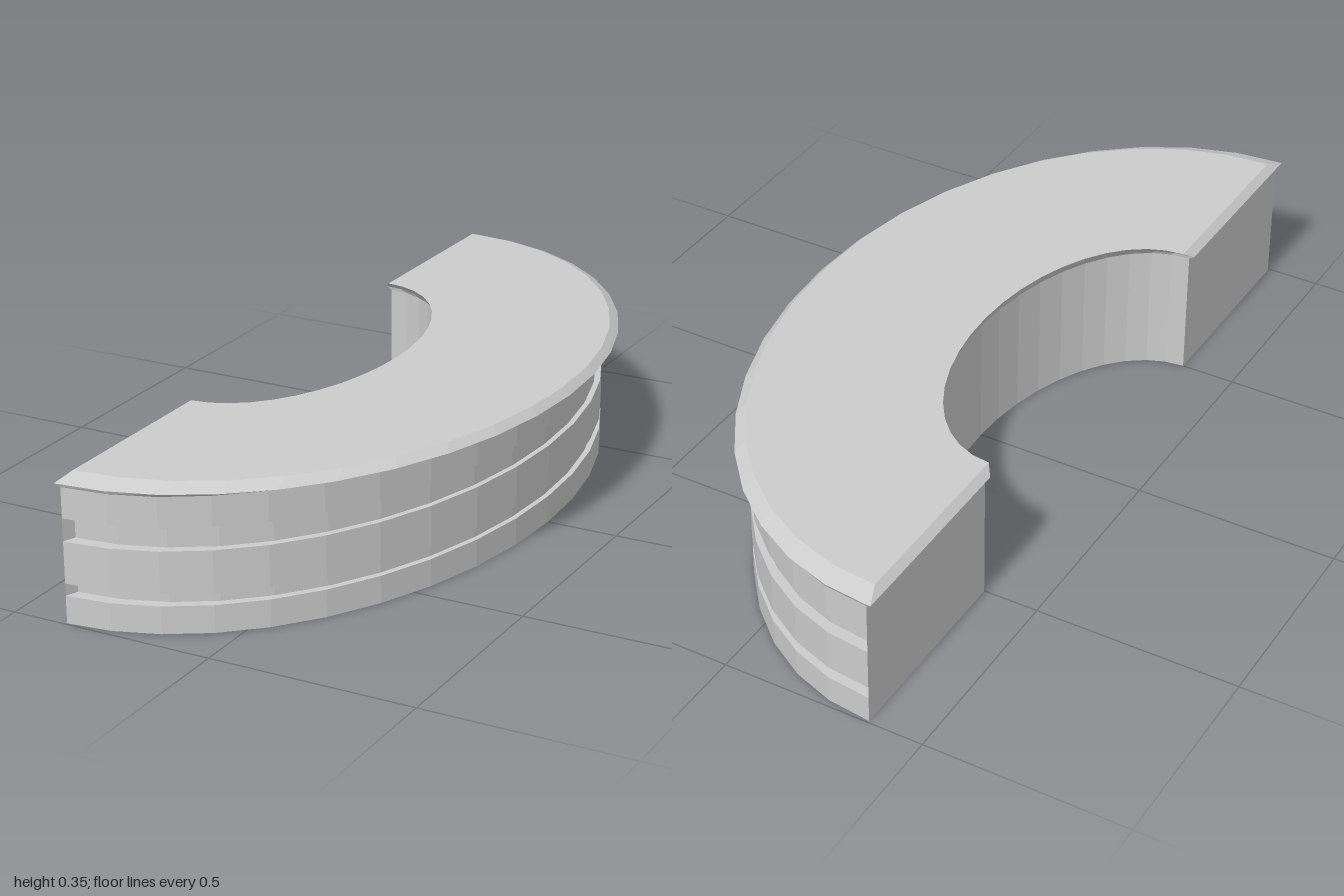
import * as THREE from 'three';

const SEG = 20;

// Half-elliptical ring outline: outer arc forward, inner arc back.
// cx: plane of the cut ends; a, b: outer radii in x and z; ia, ib: inner radii.
// Each arc carries one extra point at each end so grooves can taper out.
function outline(cx, a, b, ia, ib) {
  const arc = (rx, rz) => {
    const pts = [];
    for (let i = 0; i <= SEG; i++) {
      const t = (i / SEG) * Math.PI;
      pts.push([cx + rx * Math.sin(t), rz * Math.cos(t)]);
    }
    return [pts[0], ...pts, pts[SEG]];
  };
  return { outer: arc(a, b), inner: arc(ia, ib) };
}

// Loft a stack of [y, outline] layers into flat-shaded walls with optional caps.
function loft(layers, capBottom, capTop) {
  const pos = [];
  const tri = (p, q, r) => {
    const v = [p, q, r].map((k) => new THREE.Vector3(...k));
    const area = v[1].clone().sub(v[0]).cross(v[2].clone().sub(v[0])).length();
    if (area > 1e-8) pos.push(...p, ...q, ...r);
  };
  const quad = (p, q, r, s) => { tri(p, q, r); tri(p, r, s); };
  const rings = layers.map(([y, o]) =>
    [...o.outer, ...o.inner.slice().reverse()].map(([x, z]) => [x, y, z]));
  const n = rings[0].length;
  for (let k = 0; k < rings.length - 1; k++) {
    const lo = rings[k], hi = rings[k + 1];
    for (let i = 0; i < n; i++) {
      const j = (i + 1) % n;
      quad(lo[i], lo[j], hi[j], hi[i]);
    }
  }
  const bottom = rings[0], top = rings[rings.length - 1];
  for (let i = 0; i < n / 2 - 1; i++) {
    const m = n - 1 - i;
    if (capTop) quad(top[i], top[i + 1], top[m - 1], top[m]);
    if (capBottom) quad(bottom[i], bottom[m], bottom[m - 1], bottom[i + 1]);
  }
  const geo = new THREE.BufferGeometry();
  geo.setAttribute('position', new THREE.Float32BufferAttribute(pos, 3));
  geo.computeVertexNormals();
  return geo;
}

export function createModel() {
  const group = new THREE.Group();
  group.name = 'halfRing';
  const material = new THREE.MeshStandardMaterial({ color: 0xcccccc, flatShading: true });
  const add = (name, geometry) => {
    const mesh = new THREE.Mesh(geometry, material);
    mesh.name = name;
    group.add(mesh);
  };

  const full = outline(-0.365, 0.688, 0.995, 0.295, 0.5);
  // Groove floor: set in along the arc, meeting the full outline at the cut ends
  const recess = outline(-0.353, 0.663, 0.965, 0, 0);
  recess.inner = full.inner;
  recess.outer[0] = full.outer[0];
  recess.outer[SEG + 2] = full.outer[SEG + 2];

  // Body wall with a narrow lower groove and a wider upper groove
  add('groovedBody', loft([
    [0, full], [0.066, full],
    [0.066, recess], [0.095, recess],
    [0.095, full], [0.195, full],
    [0.195, recess], [0.249, recess],
    [0.249, full], [0.322, full],
  ], true, false));

  // Overhanging top slab with bevelled rim
  const rim = outline(-0.378, 0.753, 1, 0.305, 0.5);
  const face = outline(-0.36, 0.717, 0.952, 0.28, 0.475);
  add('topFlange', loft([[0.322, full], [0.33, rim], [0.347, face]], false, true));

  return group;
}
